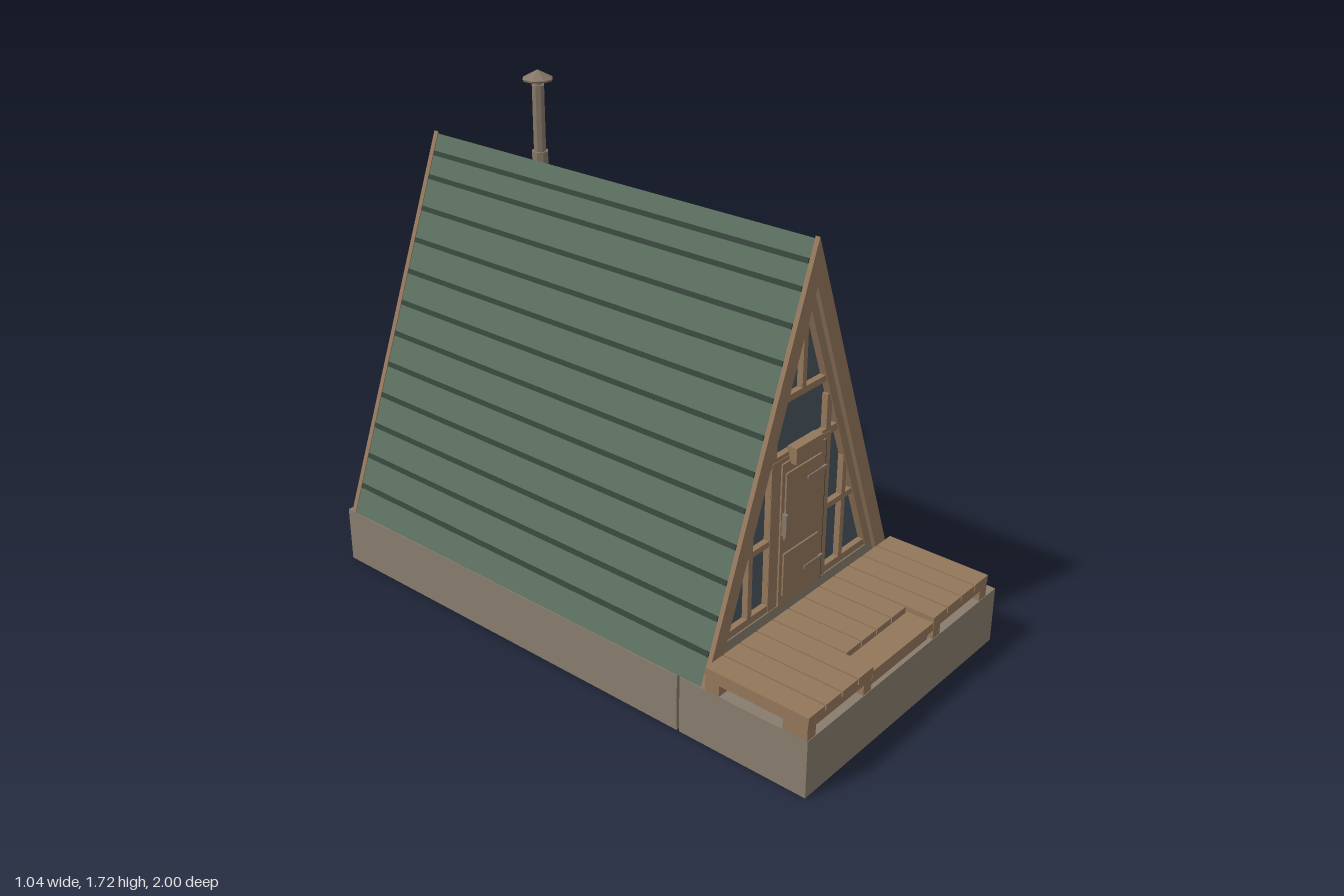
import * as THREE from 'three';

const CX = -0.03, APEX = 1.48, K = 0.49 / 1.28; // house centre, ridge height, run per rise
const half = (y, inset = 0) => (APEX - y) * K - inset;

const mat = (name, color) => {
  const m = new THREE.MeshStandardMaterial({ color, flatShading: true });
  m.name = name;
  return m;
};

export function createModel() {
  const root = new THREE.Group();
  root.name = 'aFrameCabin';
  const wood = mat('wood', 0x92765a), stone = mat('stone', 0x877c6c);
  const green = mat('roofGreen', 0x5b6f5f), darkGreen = mat('seamGreen', 0x35443a);
  const glass = mat('glass', 0x48535d), metal = mat('fluePipe', 0x867768);
  const siding = mat('siding', 0x82786a), groove = mat('groove', 0x453d34);

  const add = (name, geo, m, parent = root) => {
    const mesh = new THREE.Mesh(geo, m);
    mesh.name = name;
    parent.add(mesh);
    return mesh;
  };
  // box given by its limits on each axis
  const box = (name, m, x0, x1, y0, y1, z0, z1, parent) => {
    const b = add(name, new THREE.BoxGeometry(x1 - x0, y1 - y0, z1 - z0), m, parent);
    b.position.set((x0 + x1) / 2, (y0 + y1) / 2, (z0 + z1) / 2);
    return b;
  };
  // flat outline in x (from house centre) and y, extruded between two depths
  const prism = (name, m, pts, z0, z1, parent) => {
    const shape = new THREE.Shape(pts.map(([x, y]) => new THREE.Vector2(x, y)));
    const e = add(name, new THREE.ExtrudeGeometry(shape, { depth: z1 - z0, bevelEnabled: false }), m, parent);
    e.position.set(CX, 0, z0);
    return e;
  };
  // inverted V between two insets from the roof surface
  const chevron = (name, m, o, i, y0, z0, z1) => prism(name, m, [
    [-half(y0, o), y0], [-half(y0, i), y0], [0, APEX - i / K],
    [half(y0, i), y0], [half(y0, o), y0], [0, APEX - o / K]], z0, z1);
  const gable = (name, m, inset, y0, z0, z1) => prism(name, m, [
    [-half(y0, inset), y0], [half(y0, inset), y0], [0, APEX - inset / K]], z0, z1);

  // foundation slabs and corner pier
  box('frontSlab', stone, -0.52, 0.52, 0, 0.2, 0.53, 1);
  box('houseSlab', stone, -0.52, 0.46, 0, 0.2, -1, 0.52);
  box('cornerPier', stone, 0.435, 0.52, 0, 0.2, -1, -0.915);

  // roof shell, gable boards
  chevron('roof', green, 0.003, 0.045, 0.2, -0.965, 0.615);
  chevron('frontBargeBoard', wood, 0, 0.057, 0.2, 0.612, 0.628);
  chevron('backBargeBoard', wood, 0, 0.057, 0.2, -0.98, -0.962);

  // horizontal roof seams on both slopes
  const tilt = Math.atan(K);
  const seams = [1.41, 1.333];
  for (let i = 0; i < 10; i++) seams.push(1.23 - i * 0.1038);
  for (const s of [-1, 1]) for (const y of seams) {
    const seam = add('roofSeam', new THREE.BoxGeometry(0.008, 0.016, 1.57), darkGreen);
    seam.position.set(CX + s * (half(y) - 0.002), y, -0.175);
    seam.rotation.z = s * tilt;
  }

  // front wall: base, glazing and timber frame
  prism('frontWallBase', stone, [[-half(0.2, 0.04), 0.2], [half(0.2, 0.04), 0.2],
    [half(0.285, 0.04), 0.285], [-half(0.285, 0.04), 0.285]], 0.56, 0.6);
  gable('frontGlass', glass, 0.045, 0.28, 0.56, 0.575);
  chevron('windowFrame', wood, 0.04, 0.075, 0.28, 0.57, 0.6);
  const rail = (y, h, x0, x1) => box('frontRail', wood, CX + x0, CX + x1, y - h / 2, y + h / 2, 0.572, 0.596);
  rail(0.295, 0.03, -half(0.31, 0.06), half(0.31, 0.06));
  rail(0.99, 0.022, -half(0.99, 0.06), half(0.99, 0.06));
  rail(1.13, 0.012, -0.01, 0.01);
  rail(0.8, 0.026, -half(0.8, 0.06), half(0.8, 0.06));
  for (const s of [-1, 1]) {
    const a = s * 0.14, b = s * half(0.53, 0.06);
    rail(0.53, 0.02, Math.min(a, b), Math.max(a, b));
    const post = (x, w, y1) => box('frontPost', wood, CX + s * x - w / 2, CX + s * x + w / 2, 0.28, y1, 0.572, 0.596);
    post(0.138, 0.025, 0.93);
    post(0.24, 0.02, 0.68);
  }
  box('topMullion', wood, CX - 0.01, CX + 0.01, 0.98, 1.3, 0.572, 0.596);

  // door with raised panels, hinges, handle and hood
  const door = new THREE.Group();
  door.name = 'door';
  root.add(door);
  box('doorFrame', wood, -0.18, 0.12, 0.28, 0.8, 0.574, 0.598, door);
  box('doorGap', groove, 0.09, 0.097, 0.28, 0.78, 0.59, 0.6, door);
  box('doorLeaf', wood, -0.135, 0.088, 0.285, 0.785, 0.59, 0.604, door);
  for (const [y0, y1] of [[0.32, 0.47], [0.52, 0.75]])
    box('doorPanel', wood, -0.12, 0.06, y0, y1, 0.6, 0.61, door);
  for (const y of [0.375, 0.695]) box('hinge', metal, -0.013, 0.085, y - 0.006, y + 0.006, 0.606, 0.614, door);
  box('doorHandle', metal, -0.131, -0.121, 0.54, 0.615, 0.602, 0.622, door);
  box('doorHood', wood, -0.096, 0.04, 0.775, 0.83, 0.59, 0.625, door);

  // back wall with board grooves
  gable('backWall', siding, 0.04, 0.2, -0.95, -0.92);
  for (const s of [-1, 1]) for (const x of [0.073, 0.22, 0.365]) {
    const top = APEX - (x + 0.05) / K;
    box('boardGroove', groove, CX + s * x - 0.005, CX + s * x + 0.005, 0.2, top, -0.953, -0.945);
  }

  // back window
  const win = new THREE.Group();
  win.name = 'backWindow';
  win.position.set(CX, 0.79, -0.95);
  root.add(win);
  box('pane', glass, -0.07, 0.07, -0.08, 0.08, -0.008, 0.002, win);
  for (const s of [-1, 1]) {
    box('sideFrame', wood, s * 0.078 - 0.012, s * 0.078 + 0.012, -0.1, 0.1, -0.024, 0, win);
    box('crossFrame', wood, -0.09, 0.09, s * 0.09 - 0.012, s * 0.09 + 0.012, -0.024, 0, win);
  }
  box('mullion', wood, -0.006, 0.006, -0.08, 0.08, -0.016, 0, win);
  box('transom', wood, -0.07, 0.07, -0.006, 0.006, -0.016, 0, win);
  box('sill', wood, -0.11, 0.11, -0.112, -0.092, -0.036, 0, win);

  // deck planks, shorter behind the step
  const deck = new THREE.Group();
  deck.name = 'deck';
  root.add(deck);
  const W = 0.98 / 12;
  for (let i = 0; i < 12; i++) {
    const x = -0.52 + i * W, front = i >= 4 && i < 8 ? 0.9 : 1;
    box('plank', wood, x + (i ? 0.003 : 0), x + W - (i < 11 ? 0.003 : 0), 0.256, 0.28, 0.628, front, deck);
  }
  // rim boards, joists and feet
  for (const [x0, x1] of [[-0.52, -0.2], [0.14, 0.46]]) {
    box('frontRim', wood, x0, x1, 0.236, 0.262, 0.96, 0.998, deck);
    for (const x of [x0, x1 - 0.04]) {
      box('joist', wood, x, x + 0.04, 0.238, 0.26, 0.63, 0.998, deck);
      box('frontFoot', wood, x, x + 0.04, 0.2, 0.24, 0.912, 0.998, deck);
      box('backFoot', wood, x, x + 0.04, 0.2, 0.24, 0.628, 0.68, deck);
    }
  }
  box('stepRiser', wood, -0.2, 0.14, 0.236, 0.262, 0.87, 0.9, deck);
  box('stepTread', wood, -0.197, 0.137, 0.232, 0.262, 0.903, 0.998, deck);
  box('stepBase', wood, -0.19, 0.13, 0.2, 0.232, 0.915, 0.985, deck);

  // chimney: flashing on the slope, stepped pipe, cap
  const chimney = new THREE.Group();
  chimney.name = 'chimney';
  root.add(chimney);
  const plate = add('flashing', new THREE.BoxGeometry(0.014, 0.22, 0.11), metal, chimney);
  plate.position.set(CX + half(1.078) + 0.003, 1.078, -0.625);
  plate.rotation.z = tilt;
  const tube = (name, r0, r1, y0, y1) => {
    const t = add(name, new THREE.CylinderGeometry(r1, r0, y1 - y0, 8), metal, chimney);
    t.position.set(0.12, (y0 + y1) / 2, -0.625);
    t.rotation.y = Math.PI / 8;
  };
  tube('lowerPipe', 0.029, 0.029, 1.02, 1.445);
  tube('upperPipe', 0.022, 0.022, 1.44, 1.67);
  tube('capNeck', 0.013, 0.013, 1.66, 1.695);
  tube('capRim', 0.05, 0.053, 1.685, 1.692);
  tube('cap', 0.053, 0.001, 1.692, 1.72);
  return root;
}
